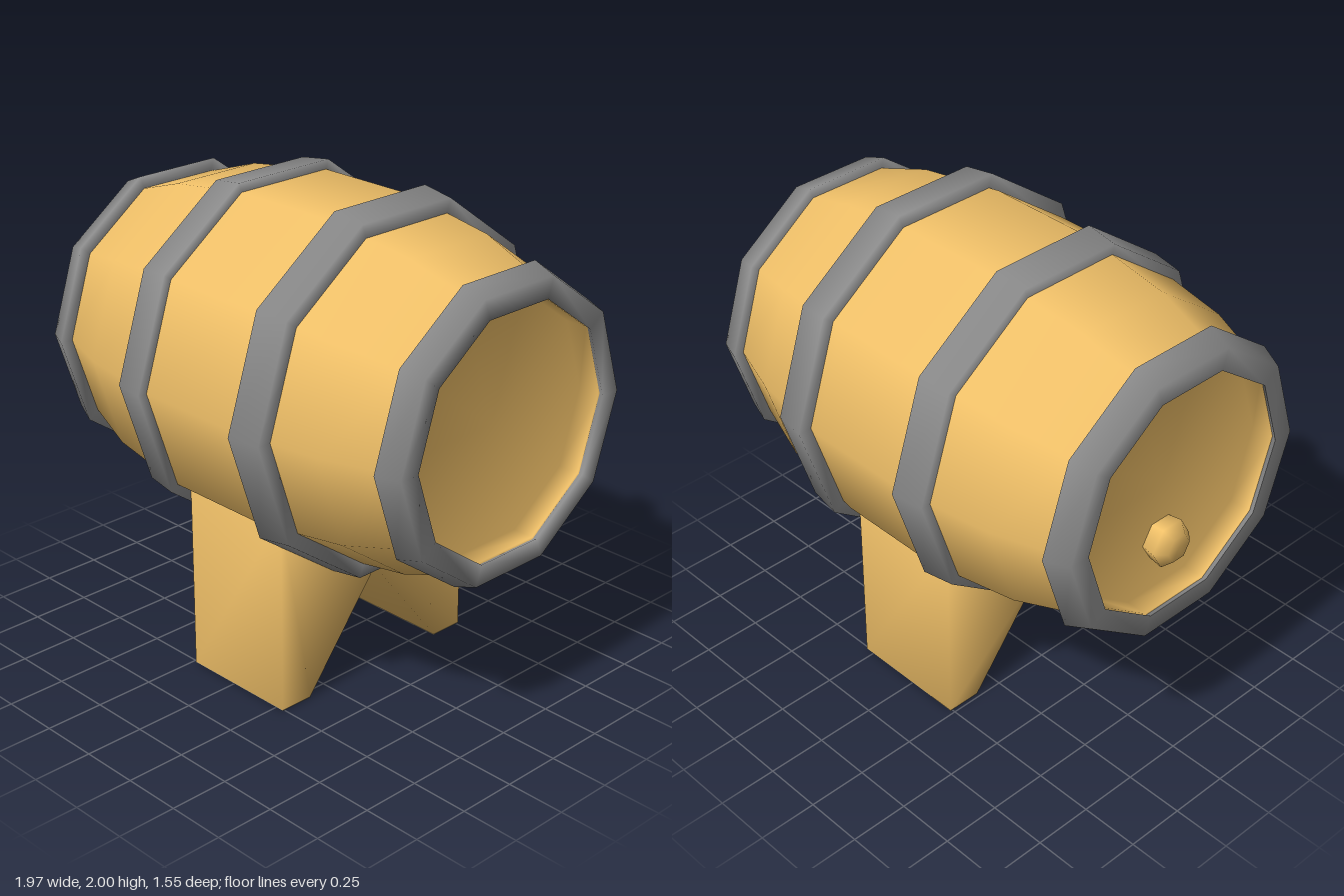
import * as THREE from 'three';
import { mergeVertices } from 'three/addons/utils/BufferGeometryUtils.js';

const SIDES = 10;
const AXIS_Y = 1.262, AXIS_Z = -0.01;
const wood = new THREE.MeshStandardMaterial({ color: 0xf0c068 });
const iron = new THREE.MeshStandardMaterial({ color: 0x8c8c8c });

// Ten-sided turned part lying along x; profile is a list of [x, radius]
function turned(name, profile, material, sides = SIDES) {
  const points = profile.map(([x, r]) => new THREE.Vector2(r, x));
  const geometry = new THREE.LatheGeometry(points, sides);
  geometry.rotateZ(-Math.PI / 2);
  const mesh = new THREE.Mesh(geometry, material);
  mesh.name = name;
  mesh.position.set(0, AXIS_Y, AXIS_Z);
  return mesh;
}

// Hoop with sloped outer face from [x0, r0] to [x1, r1]
function hoop(name, x0, r0, x1, r1, inner0, inner1) {
  return turned(name, [[x0, inner0], [x0, r0], [x1, r1], [x1, inner1], [x0, inner0]], iron);
}

export function createModel() {
  const group = new THREE.Group();

  // Barrel body with recessed heads at both ends
  const half = [[0.24, 0.726], [0.64, 0.666], [0.885, 0.582], [0.96, 0.555], [0.96, 0.51], [0.87, 0.51], [0.87, 0]];
  const left = half.map(([x, r]) => [-x, r]).reverse();
  group.add(turned('barrelBody', [...left, ...half], wood));

  // Iron hoops
  group.add(
    hoop('rightEndHoop', -0.985, 0.594, -0.885, 0.638, 0.506, 0.56),
    hoop('rightMiddleHoop', -0.375, 0.747, -0.235, 0.767, 0.68, 0.7),
    hoop('leftMiddleHoop', 0.29, 0.777, 0.43, 0.756, 0.7, 0.67),
    hoop('leftEndHoop', 0.885, 0.627, 0.985, 0.594, 0.56, 0.506)
  );

  // Small plug in the lower part of one head
  const plug = turned('plug', [[-0.97, 0], [-0.97, 0.06], [-0.93, 0.1], [-0.86, 0.09]], wood, 6);
  plug.position.y = 1.01;
  group.add(plug);

  // Notched stand, its top buried in the barrel
  const x0 = -0.235, x1 = 0.29, sole = 0.004;
  const shape = new THREE.Shape([
    [0.51, sole], [0.51, 0.85], [-0.51, 0.85], [-0.51, sole], [-0.36, sole], [0, 0.46], [0.36, sole],
  ].map(([z, y]) => new THREE.Vector2(z, y)));
  let standGeometry = new THREE.ExtrudeGeometry(shape, { depth: x1 - x0, bevelEnabled: false });
  standGeometry.rotateY(Math.PI / 2);
  standGeometry.translate(x0, 0, 0);
  // Shared corners give the soft shading
  standGeometry.deleteAttribute('normal');
  standGeometry.deleteAttribute('uv');
  standGeometry = mergeVertices(standGeometry);
  standGeometry.computeVertexNormals();
  const stand = new THREE.Mesh(standGeometry, wood);
  stand.name = 'stand';
  group.add(stand);

  // Grey soles under the two feet
  for (const side of [1, -1]) {
    const foot = new THREE.Mesh(new THREE.BoxGeometry(x1 - x0, sole, 0.15), iron);
    foot.name = side > 0 ? 'frontSole' : 'backSole';
    foot.position.set((x0 + x1) / 2, sole / 2, side * 0.435);
    group.add(foot);
  }
  return group;
}
